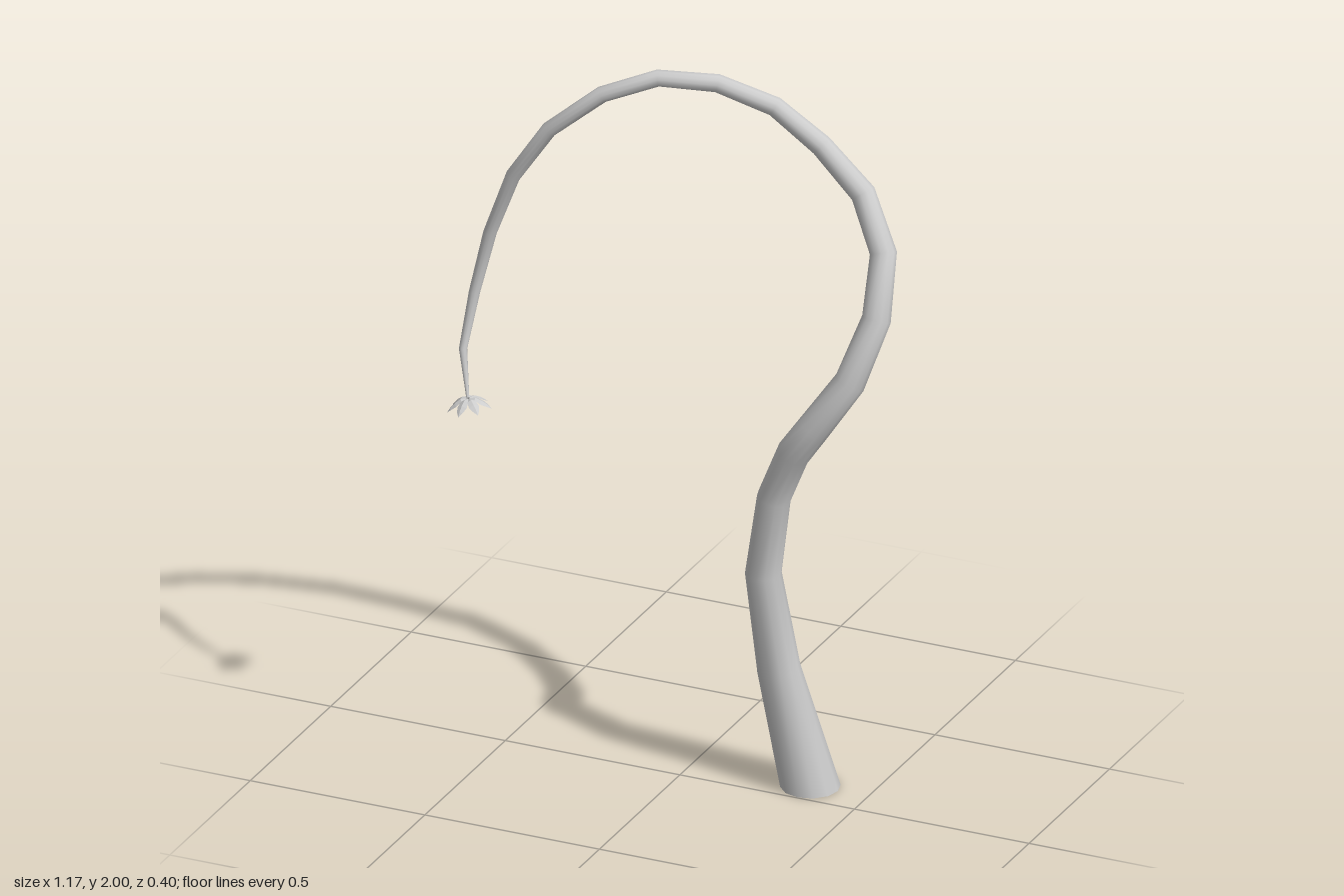
import * as THREE from 'three';

const grey = new THREE.MeshStandardMaterial({ color: 0xcccccc });
const thin = new THREE.MeshStandardMaterial({ color: 0xcccccc, side: THREE.DoubleSide, flatShading: true });

// Stem stations: x, y, z, radius
const STEM = [
  [0.336, 0, -0.082, 0.079], [0.262, 0.34, -0.046, 0.057], [0.239, 0.63, 0, 0.048],
  [0.268, 0.85, -0.003, 0.045], [0.335, 1.0, 0.022, 0.045], [0.398, 1.09, 0.026, 0.044],
  [0.488, 1.225, 0.002, 0.042], [0.54, 1.395, -0.05, 0.039], [0.53, 1.555, -0.115, 0.036],
  [0.45, 1.69, -0.163, 0.034], [0.335, 1.81, -0.153, 0.03], [0.21, 1.905, -0.135, 0.027],
  [0.068, 1.965, -0.086, 0.025], [-0.075, 1.977, -0.027, 0.023], [-0.21, 1.927, 0.028, 0.022],
  [-0.345, 1.815, 0.064, 0.021], [-0.45, 1.66, 0.06, 0.02], [-0.52, 1.48, 0.051, 0.018],
  [-0.56, 1.305, 0.061, 0.015], [-0.573, 1.157, 0.104, 0.011], [-0.543, 1.038, 0.14, 0.004],
];

// Tapered tube with straight runs between the stations
function taperedTube(stations, sides) {
  const pts = stations.map(([x, y, z]) => new THREE.Vector3(x, y, z));
  const pos = [], idx = [];
  const side = new THREE.Vector3(1, 0, 0);
  pts.forEach((p, i) => {
    const t = new THREE.Vector3();
    if (i === 0) t.set(0, 1, 0); // the foot is cut level with the ground
    else {
      t.add(p.clone().sub(pts[i - 1]).normalize());
      if (i < pts.length - 1) t.add(pts[i + 1].clone().sub(p).normalize());
      t.normalize();
    }
    side.addScaledVector(t, -side.dot(t)).normalize(); // carry the frame along
    const up = new THREE.Vector3().crossVectors(t, side);
    for (let k = 0; k < sides; k++) {
      const a = (k / sides) * Math.PI * 2;
      const v = p.clone()
        .addScaledVector(side, Math.cos(a) * stations[i][3])
        .addScaledVector(up, Math.sin(a) * stations[i][3]);
      pos.push(v.x, v.y, v.z);
      if (i > 0) {
        const n = (k + 1) % sides, lo = (i - 1) * sides, hi = i * sides;
        idx.push(lo + k, lo + n, hi + n, lo + k, hi + n, hi + k);
      }
    }
  });
  const g = new THREE.BufferGeometry();
  g.setAttribute('position', new THREE.Float32BufferAttribute(pos, 3));
  g.setIndex(idx);
  g.computeVertexNormals();
  return g;
}

// Pointed, drooping petal along +x, raised along its midrib
function petalGeometry() {
  const rows = [[0.004, 0.002, 0.004], [0.02, 0.003, 0.011], [0.036, -0.006, 0.014], [0.05, -0.017, 0.008], [0.06, -0.028, 0]];
  const pos = [], idx = [];
  rows.forEach(([x, y, w], i) => {
    pos.push(x, y - w * 0.4, -w, x, y, 0, x, y - w * 0.4, w);
    if (i === 0) return;
    for (let k = 0; k < 2; k++) {
      const a = (i - 1) * 3 + k, b = i * 3 + k;
      idx.push(a, a + 1, b + 1, a, b + 1, b);
    }
  });
  const g = new THREE.BufferGeometry();
  g.setAttribute('position', new THREE.Float32BufferAttribute(pos, 3));
  g.setIndex(idx);
  g.computeVertexNormals();
  return g;
}

export function createModel() {
  const model = new THREE.Group();
  model.name = 'droopingFlower';

  const stem = new THREE.Mesh(taperedTube(STEM, 12), grey);
  stem.name = 'stem';
  model.add(stem);

  // Closed underside of the stem
  const [bx, , bz, br] = STEM[0];
  const foot = new THREE.Mesh(new THREE.CircleGeometry(br, 12), grey);
  foot.name = 'stemFoot';
  foot.rotation.x = Math.PI / 2;
  foot.position.set(bx, 0, bz);
  model.add(foot);

  // Seven petals hanging from the stem tip
  const flower = new THREE.Group();
  flower.name = 'flower';
  flower.position.set(-0.542, 1.034, 0.139);
  flower.rotation.z = 0.14;
  const petal = petalGeometry();
  for (let i = 0; i < 7; i++) {
    const m = new THREE.Mesh(petal, thin);
    m.name = 'petal' + (i + 1);
    m.rotation.y = 0.14 + (i / 7) * Math.PI * 2;
    flower.add(m);
  }
  model.add(flower);
  return model;
}
